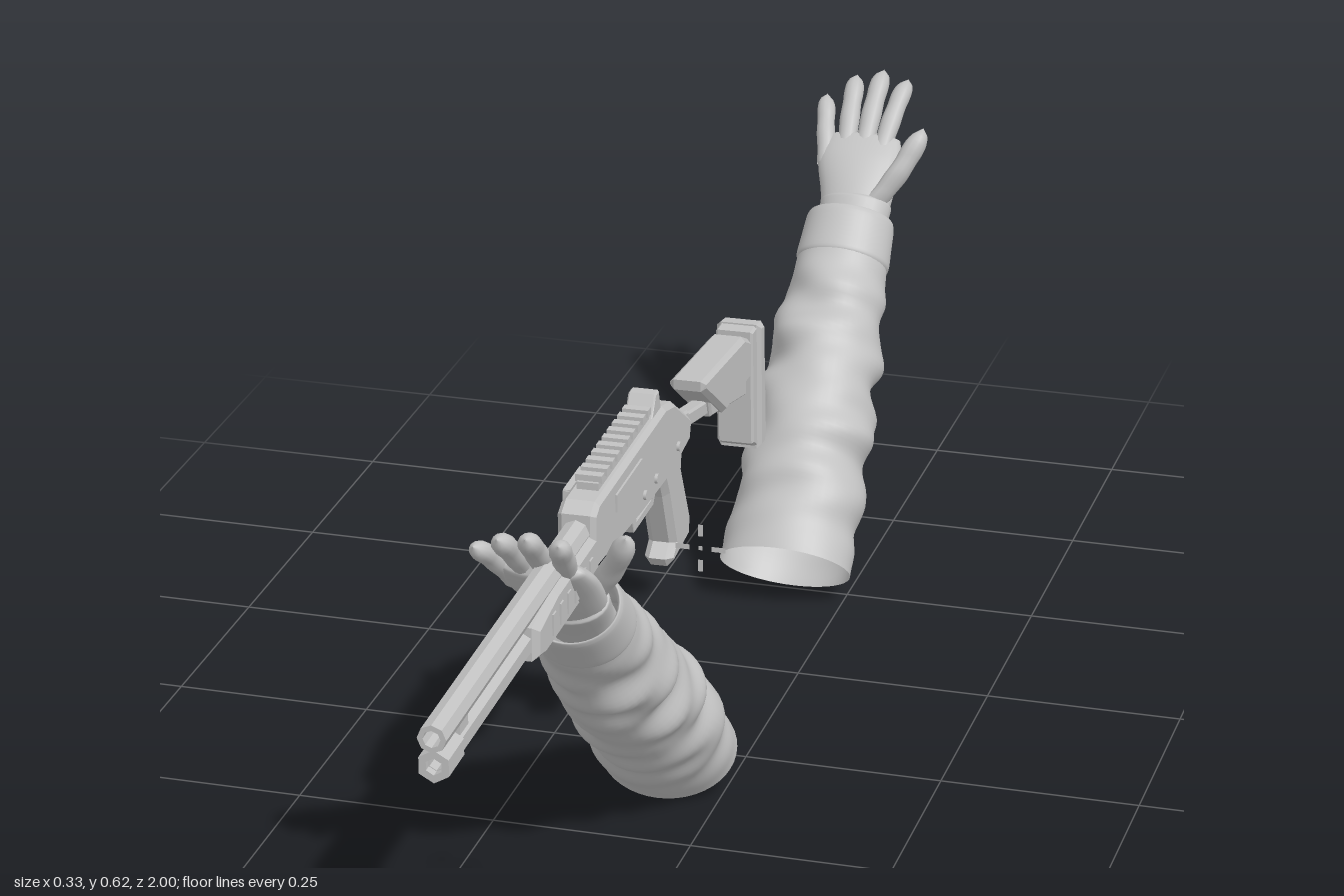
import * as THREE from 'three';

const grey = new THREE.MeshStandardMaterial({ color: 0xc2c2c2, side: THREE.DoubleSide });
grey.name = 'plain grey';

function add(parent, name, geo) {
  const m = new THREE.Mesh(geo, grey);
  m.name = name;
  parent.add(m);
}

// Smooth skin over ellipses: stations are [x, y, z, halfWidth, halfDepth], with y along the limb
function loft(stations, rows, n, bump = () => 0) {
  const mid = new THREE.CatmullRomCurve3(stations.map(s => new THREE.Vector3(s[0], s[1], s[2])));
  const size = new THREE.CatmullRomCurve3(stations.map(s => new THREE.Vector3(s[3], s[4], 0)));
  const pos = [], idx = [];
  for (let i = 0; i <= rows; i++) {
    const c = mid.getPoint(i / rows), r = size.getPoint(i / rows);
    for (let j = 0; j < n; j++) {
      const a = j / n * Math.PI * 2, b = bump(c.y, a);
      pos.push(c.x + Math.cos(a) * (r.x + b), c.y, c.z - Math.sin(a) * (r.y + b));
      if (i < rows) {
        const k = (j + 1) % n, p = i * n, q = p + n;
        idx.push(p + j, p + k, q + k, p + j, q + k, q + j);
      }
    }
  }
  const g = new THREE.BufferGeometry();
  g.setAttribute('position', new THREE.Float32BufferAttribute(pos, 3));
  g.setIndex(idx);
  g.computeVertexNormals();
  return g;
}

// Round-tipped finger bending through three points
function finger(a, b, c, r) {
  const path = new THREE.QuadraticBezierCurve3(a, b, c);
  const stations = [];
  for (let t = 0; t <= 10; t++) {
    const p = path.getPoint(t / 10), tip = Math.max(0, t - 7) / 3;
    const k = r * (Math.sqrt(1 - tip * tip) + 0.04 * Math.cos(t * 1.6));
    stations.push([p.x, p.y, p.z, k, k]);
  }
  return loft(stations, 22, 12);
}

// Cloth folds running diagonally round the sleeve, fading at both ends
function folds(y, a) {
  const fade = Math.max(0, Math.min(1, y / 0.1, (0.44 - y) / 0.06));
  const f = Math.sin(62 * y + 2.1 * Math.sin(a + 0.8)) * (0.5 + 0.5 * Math.sin(a * 2 + y * 9));
  return fade * (0.0065 * f + 0.0035 * Math.sin(105 * y - 2 * Math.cos(a - 0.6)) * Math.cos(a + 14 * y));
}

// Arm in limb space: y towards the fingers, -z on the palm side, thumb at +x
function arm(name, mirrored) {
  const g = new THREE.Group();
  g.name = name;
  const put = (part, geo) => {
    geo.rotateX(Math.PI / 4).translate(0, 0.05, 0.09);
    if (mirrored) {
      geo.scale(1, 1, -1).translate(0, 0, -0.37);
      const ix = geo.index.array;
      for (let i = 0; i < ix.length; i += 3) [ix[i], ix[i + 1]] = [ix[i + 1], ix[i]];
      geo.computeVertexNormals();
    }
    add(g, part, geo);
  };
  put('sleeve', loft([[-0.075, 0, 0, 0.088, 0.069], [-0.074, 0.15, 0, 0.081, 0.075],
    [-0.08, 0.30, 0.005, 0.075, 0.072], [-0.082, 0.45, 0.006, 0.06, 0.054]], 72, 44, folds));
  // Turned-in cuff: [along, radius]
  const cuff = [[0.435, 0.058], [0.445, 0.0635], [0.47, 0.062], [0.5, 0.06], [0.508, 0.057], [0.5, 0.053], [0.46, 0.05]];
  put('sleeveCuff', loft(cuff.map(([y, r]) => [-0.082, y, 0.006, r, r - 0.007]), 28, 40));
  const wrist = [[0.45, 0.044], [0.49, 0.045], [0.53, 0.049], [0.535, 0.044]];
  put('gloveWrist', loft(wrist.map(([y, r]) => [-0.08, y, 0.008, r, 0.72 * r - 0.002]), 20, 28));
  put('palm', loft([[-0.08, 0.5, 0.009, 0.043, 0.027], [-0.082, 0.545, 0.008, 0.05, 0.027],
    [-0.088, 0.595, 0.009, 0.057, 0.022], [-0.088, 0.632, 0.012, 0.05, 0.013],
    [-0.087, 0.64, 0.012, 0.02, 0.002]], 24, 28));
  // Four fingers fanned out around the middle one
  ['indexFinger', 'middleFinger', 'ringFinger', 'littleFinger'].forEach((part, i) => {
    const t = i - 1, q = t * t;
    put(part, finger(new THREE.Vector3(-0.085 - 0.0237 * t, 0.61 - 0.006 * q, 0.01),
      new THREE.Vector3(-0.085 - 0.03 * t, 0.685 - 0.01 * q, 0.007),
      new THREE.Vector3(-0.081 - 0.036 * t, 0.739 - 0.011 * q, 0.018), 0.0137 - 0.0003 * q));
  });
  put('thumb', finger(new THREE.Vector3(-0.055, 0.53, 0), new THREE.Vector3(-0.016, 0.57, -0.025),
    new THREE.Vector3(0.002, 0.634, -0.034), 0.0155));
  return g;
}

// Side outline as [z, y] points, extruded across x
function plate(pts, w, bevel = 0.003, hole = []) {
  const v = p => p.map(([z, y]) => new THREE.Vector2(z, y));
  const s = new THREE.Shape(v(pts));
  if (hole.length) s.holes.push(new THREE.Path(v(hole)));
  const depth = w - 2 * bevel;
  return new THREE.ExtrudeGeometry(s, { depth, bevelSize: bevel, bevelOffset: -bevel,
    bevelThickness: bevel, bevelSegments: 1 }).rotateY(-Math.PI / 2).translate(depth / 2, 0, 0);
}
const box = (w, h, d, x, y, z) => new THREE.BoxGeometry(w, h, d).translate(x, y, z);

// Faceted tube along z with a hollow muzzle
function tube(r, bore, z0, z1, y, sides) {
  const p = [[0, z0], [r, z0], [r, z1], [bore, z1], [bore, z1 - 0.05], [0, z1 - 0.05]];
  const g = new THREE.LatheGeometry(p.map(q => new THREE.Vector2(...q)), sides)
    .rotateX(Math.PI / 2).translate(0, y, 0).toNonIndexed();
  g.computeVertexNormals();
  return g;
}

function gun() {
  const g = new THREE.Group();
  g.name = 'shotgun';
  // Barrel, magazine tube and forend
  add(g, 'barrel', tube(0.0165, 0.01, 0.4, 1, 0.492, 8));
  add(g, 'magazineTube', tube(0.0165, 0.009, 0.4, 0.985, 0.457, 6));
  add(g, 'magazineCap', tube(0.0195, 0.01, 0.94, 0.995, 0.457, 6));
  add(g, 'barrelClamp', box(0.022, 0.05, 0.03, 0, 0.475, 0.92));
  add(g, 'forend', plate([[0.43, 0.43], [0.43, 0.49], [0.6, 0.49], [0.68, 0.478], [0.68, 0.437], [0.65, 0.43]], 0.046, 0.008));
  for (let i = 0; i < 6; i++) add(g, 'forendRib', box(0.05, 0.026, 0.012, 0, 0.458, 0.47 + i * 0.03));
  // Receiver and its fittings
  add(g, 'receiver', plate([[0.45, 0.445], [0.45, 0.515], [0.43, 0.525], [0.14, 0.525], [0.1, 0.515],
    [0.02, 0.462], [0.03, 0.435], [0.12, 0.425], [0.25, 0.43]], 0.046, 0.006));
  for (const s of [-1, 1]) {
    add(g, 'sidePanel', box(0.004, 0.022, 0.11, s * 0.0235, 0.495, 0.31));
    for (const z of [0.09, 0.19, 0.24])
      add(g, 'pin', new THREE.CylinderGeometry(0.006, 0.006, 0.006, 10).rotateZ(Math.PI / 2).translate(s * 0.0235, 0.453, z));
  }
  add(g, 'boltHandle', box(0.024, 0.012, 0.014, -0.034, 0.49, 0.34));
  add(g, 'boltKnob', box(0.012, 0.014, 0.07, -0.04, 0.49, 0.31));
  // Top rail and sight
  add(g, 'rail', box(0.026, 0.012, 0.22, 0, 0.528, 0.29));
  for (let i = 0; i < 10; i++) add(g, 'railTooth', box(0.032, 0.009, 0.012, 0, 0.537, 0.19 + i * 0.0222));
  add(g, 'rearSight', plate([[0.185, 0.52], [0.165, 0.55], [0.15, 0.55], [0.14, 0.52]], 0.034, 0.002));
  // Trigger group and grip
  add(g, 'triggerGuard', plate([[0.25, 0.435], [0.235, 0.4], [0.15, 0.4], [0.12, 0.435]], 0.018, 0.001,
    [[0.235, 0.432], [0.225, 0.408], [0.155, 0.408], [0.14, 0.432]]));
  add(g, 'trigger', plate([[0.195, 0.435], [0.193, 0.408], [0.178, 0.435]], 0.008, 0.001));
  add(g, 'grip', plate([[0.135, 0.435], [0.045, 0.44], [0.05, 0.41], [0.01, 0.33], [0.015, 0.302],
    [0.095, 0.295], [0.105, 0.308], [0.085, 0.322], [0.115, 0.395]], 0.036, 0.008));
  // Collapsible stock
  add(g, 'stockHinge', plate([[0.06, 0.435], [0.06, 0.475], [0, 0.462], [0, 0.435]], 0.026));
  add(g, 'stockStrut', plate([[0.04, 0.466], [0.04, 0.446], [-0.27, 0.375], [-0.27, 0.395]], 0.02));
  add(g, 'stockSleeve', plate([[-0.09, 0.44], [-0.1, 0.412], [-0.27, 0.372], [-0.27, 0.402]], 0.03));
  add(g, 'cheekRest', plate([[-0.038, 0.484], [-0.04, 0.47], [-0.14, 0.402], [-0.268, 0.398], [-0.268, 0.45], [-0.235, 0.466]], 0.046, 0.006));
  add(g, 'buttPlate', plate([[-0.265, 0.46], [-0.29, 0.46], [-0.295, 0.292], [-0.272, 0.305]], 0.048));
  add(g, 'buttPad', plate([[-0.287, 0.462], [-0.312, 0.458], [-0.322, 0.3], [-0.312, 0.289], [-0.29, 0.291]], 0.058, 0.006));
  g.rotation.y = 0.018;
  g.position.x = -0.085;
  return g;
}

// Flat aiming mark: four bars round a small centre square
function aimingMark() {
  const g = new THREE.Group();
  g.name = 'aimingMark';
  add(g, 'markCentre', new THREE.PlaneGeometry(0.005, 0.005));
  for (const s of [-1, 1]) {
    add(g, 'uprightBar', new THREE.PlaneGeometry(0.006, 0.014).translate(0, s * 0.021, 0));
    add(g, 'levelBar', new THREE.PlaneGeometry(0.0155, 0.006).translate(s * 0.0205, 0, 0));
  }
  g.position.set(0.135, 0.595, 0.67);
  return g;
}

export function createModel() {
  const model = new THREE.Group();
  model.name = 'armsAndShotgun';
  model.add(arm('frontArm', false), arm('rearArm', true), gun(), aimingMark());
  return model;
}
